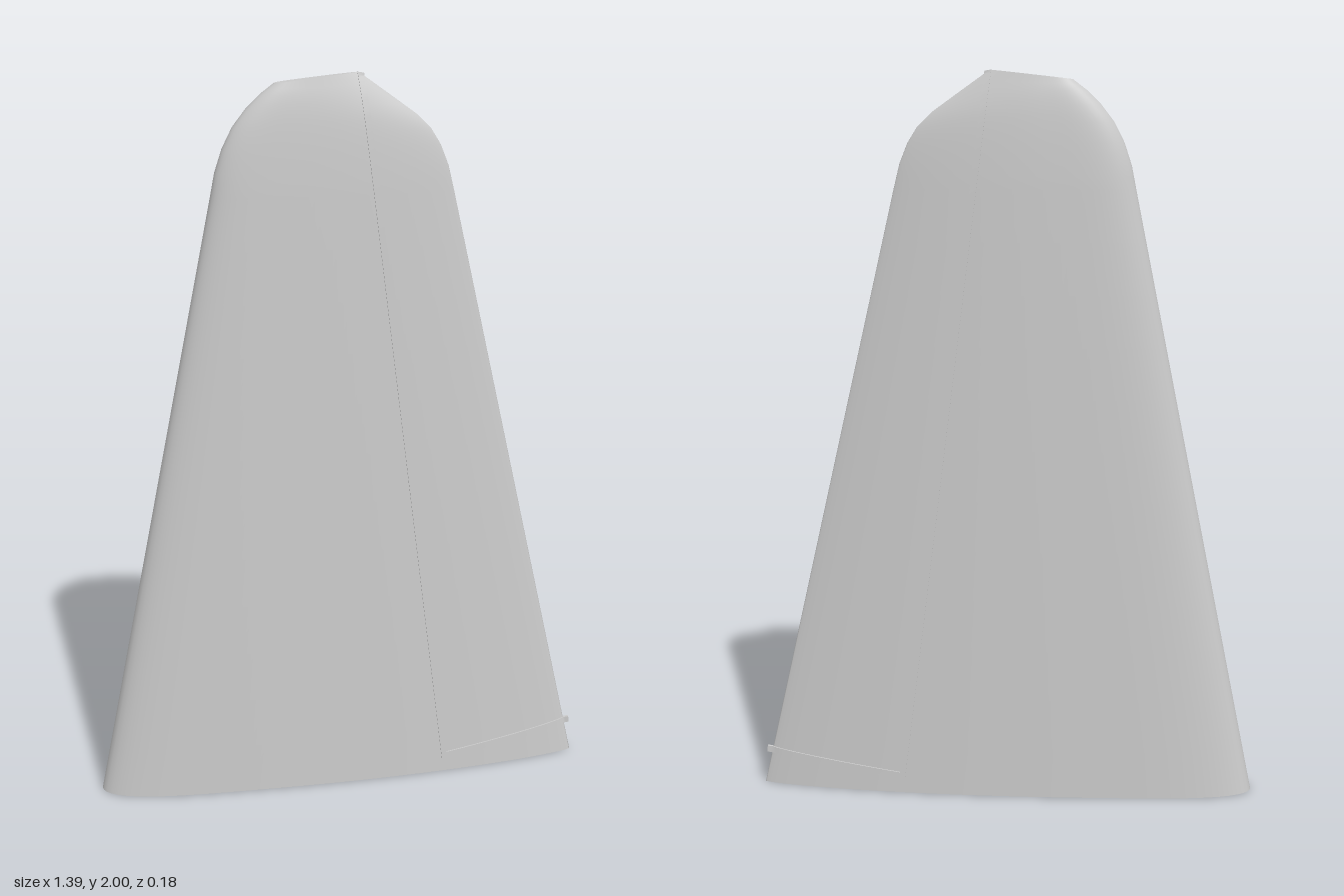
import * as THREE from 'three';
import { toCreasedNormals } from 'three/addons/utils/BufferGeometryUtils.js';

// Chord lines up the fin: leading x, y, trailing x, y, half thickness
const SECTIONS = [
  [-0.70, 0, 0.69, 0, 0.09],
  [-0.35, 1.69, 0.298, 1.69, 0.05],
  [-0.338, 1.75, 0.282, 1.755, 0.0475],
  [-0.318, 1.81, 0.26, 1.81, 0.0445],
  [-0.29, 1.865, 0.233, 1.853, 0.041],
  [-0.255, 1.91, 0.195, 1.89, 0.037],
  [-0.217, 1.947, 0.125, 1.94, 0.031],
  [-0.18, 1.975, 0.04, 2.0, 0.022],
];
const LAST = SECTIONS.length - 1;
const lerp = THREE.MathUtils.lerp;

function section(s) {
  const i = Math.min(Math.floor(s), LAST - 1);
  return SECTIONS[i].map((v, k) => lerp(v, SECTIONS[i + 1][k], s - i));
}

// Airfoil: blunt leading edge, fine trailing edge
function airfoil(u) {
  if (u <= 0 || u >= 1) return 0;
  if (u < 0.35) return Math.pow(1 - Math.pow(1 - u / 0.35, 4), 0.45);
  return Math.pow(1 - ((u - 0.35) / 0.65) ** 2, 0.75);
}

// Half thickness of the fin at a point of its side elevation
function halfThickness(x, y) {
  let lo = 0, hi = LAST;
  const chord = (c) => THREE.MathUtils.clamp((x - c[0]) / (c[2] - c[0]), 0, 1);
  for (let k = 0; k < 30; k++) {
    const mid = (lo + hi) / 2, c = section(mid);
    if (lerp(c[1], c[3], chord(c)) < y) lo = mid; else hi = mid;
  }
  const c = section(lo);
  return c[4] * airfoil(chord(c));
}

// Joins equal rings of points into a closed-around skin
function loft(rings, capped) {
  const n = rings[0].length, index = [];
  for (let r = 0; r < rings.length - 1; r++) {
    for (let j = 0; j < n; j++) {
      const a = r * n + j, b = r * n + (j + 1) % n;
      index.push(a, b, b + n, a, b + n, a + n);
    }
  }
  if (capped) {
    const top = (rings.length - 1) * n;
    for (let j = 1; j < n - 1; j++) {
      index.push(0, j + 1, j, top, top + j, top + j + 1);
    }
  }
  const geo = new THREE.BufferGeometry();
  geo.setAttribute('position', new THREE.Float32BufferAttribute(rings.flat(2), 3));
  geo.setIndex(index);
  geo.computeVertexNormals();
  return geo;
}

// Ring runs along the +z side from leading to trailing edge, then back
function finRing(s) {
  const [xl, yl, xr, yr, h] = section(s), n = 72;
  return Array.from({ length: n }, (_, j) => {
    const a = (j / n) * Math.PI * 2, u = (1 - Math.cos(a)) / 2;
    return [lerp(xl, xr, u), lerp(yl, yr, u), Math.sign(Math.sin(a)) * h * airfoil(u)];
  });
}

// Slab through the fin whose rim stands just proud of both sides
function seamGeometry() {
  const outer = [[0.036, 2.0], [0.281, 0.04], [0.683, 0.091]];
  const inner = [[0.054, 1.997], [0.295, 0.06], [0.681, 0.109]];
  const proud = 0.004, rings = [];
  const along = (line, leg, t) => [0, 1].map((k) => lerp(line[leg][k], line[leg + 1][k], t));
  [60, 30].forEach((steps, leg) => {
    for (let i = leg; i <= steps; i++) {
      // finer steps toward the rounded ends
      const f = i / steps, t = leg ? 1 - (1 - f) ** 2 : f * f;
      const a = along(outer, leg, t), b = along(inner, leg, t);
      const za = halfThickness(...a) + proud, zb = halfThickness(...b) + proud;
      rings.push([[...a, za], [...b, zb], [...b, -zb], [...a, -za]].reverse());
    }
  });
  return toCreasedNormals(loft(rings, true), 0.6);
}

export function createModel() {
  const group = new THREE.Group();
  group.name = 'tailFin';
  const material = new THREE.MeshStandardMaterial({ color: 0xcccccc, side: THREE.DoubleSide });
  const add = (name, geo) => {
    const mesh = new THREE.Mesh(geo, material);
    mesh.name = name;
    group.add(mesh);
  };

  // Skin, with extra rows up the long straight part
  const levels = [];
  for (let i = 0; i < 12; i++) levels.push(i / 12);
  for (let s = 1; s <= LAST; s += 0.5) levels.push(s);
  const rings = levels.map(finRing);
  add('finSkin', loft(rings, false));

  // Flat root and tip faces
  const face = (ring, flip) => {
    const index = [];
    for (let j = 1; j < ring.length - 1; j++) index.push(0, ...(flip ? [j + 1, j] : [j, j + 1]));
    const geo = new THREE.BufferGeometry();
    geo.setAttribute('position', new THREE.Float32BufferAttribute(ring.flat(), 3));
    geo.setIndex(index);
    geo.computeVertexNormals();
    return geo;
  };
  add('rootFace', face(rings[0], true));
  add('tipFace', face(rings[rings.length - 1], false));

  // Raised strip that outlines the rudder
  add('rudderSeam', seamGeometry());
  return group;
}
